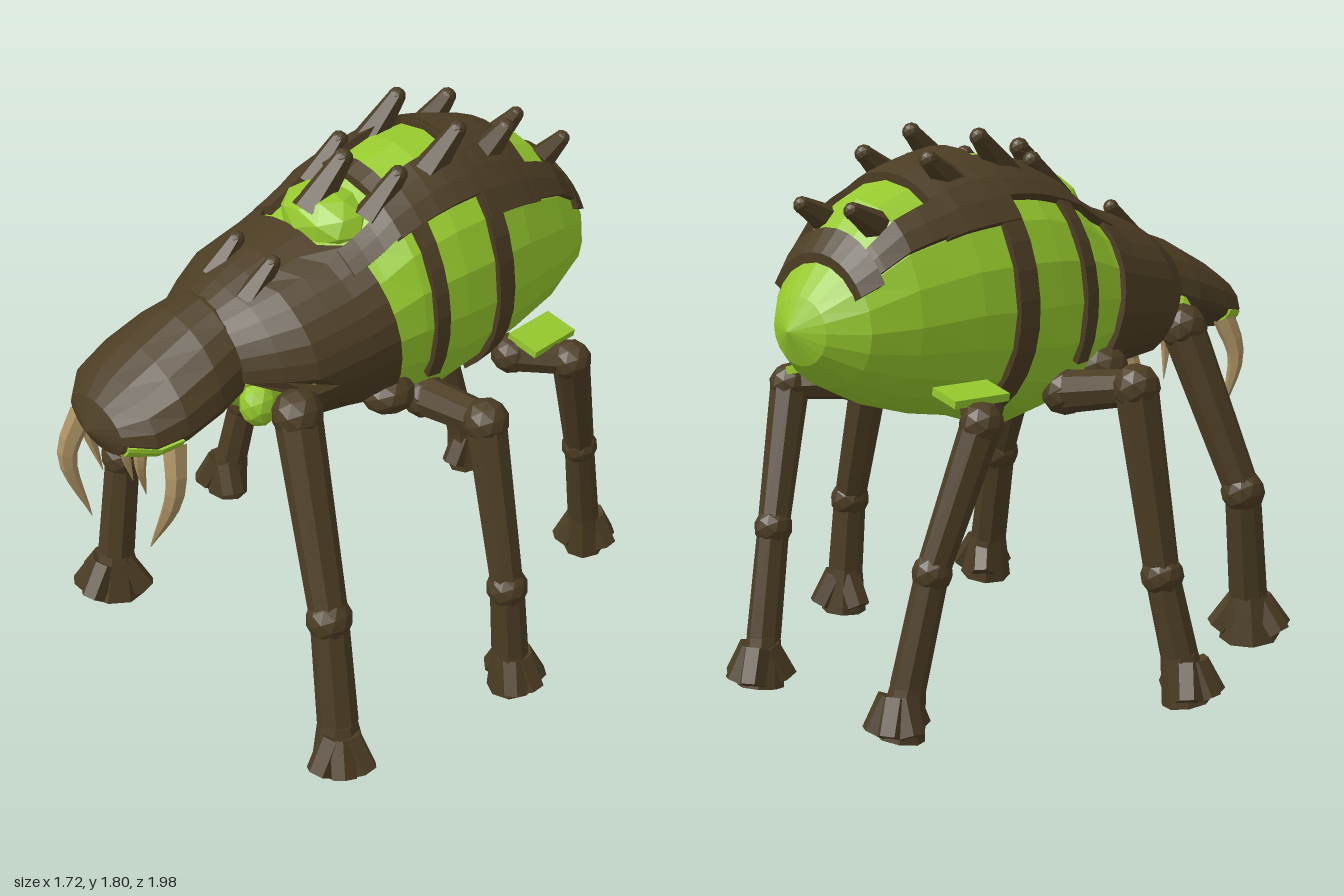
import * as THREE from 'three';

const brown = new THREE.MeshStandardMaterial({ color: 0x4c3d24, flatShading: true });
brown.name = 'dark brown shell';
const green = new THREE.MeshStandardMaterial({ color: 0x96c92d, flatShading: true });
green.name = 'lime green skin';
const tan = new THREE.MeshStandardMaterial({ color: 0xab9062, flatShading: true });
tan.name = 'tan tusk';

const V = (x, y, z) => new THREE.Vector3(x, y, z);

// Cross-sections: z, half width, bottom, centre, top
const BODY = [
  [-1, 0, 1.23, 1.23, 1.23], [-.95, .12, 1.12, 1.23, 1.33], [-.86, .22, 1.04, 1.23, 1.45],
  [-.72, .29, .97, 1.24, 1.6], [-.52, .35, .91, 1.26, 1.68], [-.36, .385, .88, 1.26, 1.715],
  [-.22, .393, .83, 1.26, 1.705], [-.05, .39, .86, 1.26, 1.65], [.05, .38, .9, 1.25, 1.57],
  [.17, .37, .94, 1.23, 1.51], [.35, .345, .97, 1.2, 1.46], [.48, .26, 1.03, 1.2, 1.4],
  [.55, .2, 1.07, 1.2, 1.36], [.56, 0, 1.2, 1.2, 1.2]];
const HEAD = [
  [.45, .2, 1.1, 1.2, 1.4], [.53, .225, 1.1, 1.2, 1.4], [.62, .25, 1.08, 1.17, 1.37],
  [.75, .258, 1.04, 1.13, 1.305], [.85, .235, 1.02, 1.11, 1.245], [.92, .15, 1.02, 1.1, 1.18], [.96, 0, 1.09, 1.09, 1.09]];

// Point on a lofted surface; angle runs from the top towards +x
function surf(keys, z, a, off = 0) {
  let i = 0;
  while (i < keys.length - 2 && z > keys[i + 1][0]) i++;
  const A = keys[i], B = keys[i + 1];
  const t = THREE.MathUtils.clamp((z - A[0]) / (B[0] - A[0]), 0, 1);
  const [, rx, bot, cy, top] = A.map((v, k) => v + (B[k] - v) * t);
  const c = Math.cos(a);
  return [(rx + off) * Math.sin(a), cy + c * ((c > 0 ? top - cy : cy - bot) + off), z];
}

// Grid of points to a geometry
function gridGeometry(rows) {
  const n = rows[0].length, idx = [];
  for (let i = 0; i < rows.length - 1; i++) for (let j = 0; j < n - 1; j++) {
    const p = i * n + j;
    idx.push(p, p + n, p + 1, p + 1, p + n, p + n + 1);
  }
  const g = new THREE.BufferGeometry();
  g.setAttribute('position', new THREE.Float32BufferAttribute(rows.flat(2), 3));
  g.setIndex(idx);
  g.computeVertexNormals();
  return g;
}

// Full loft with one ring at each section
const loft = (keys) => gridGeometry(keys.map((k) =>
  Array.from({ length: 21 }, (_, j) => surf(keys, k[0], j * Math.PI / 10))));

// Raised plate following a loft; its border folds down into the skin
function plate(keys, z0, z1, a0, a1, off) {
  const f = (z, a) => (typeof z === 'function' ? z(Math.abs(a)) : z);
  const nz = Math.max(1, Math.ceil((f(z1, 0) - f(z0, 0)) / .08)), na = Math.max(2, Math.ceil((a1 - a0) / .2));
  const rows = [];
  for (let i = -1; i <= nz + 1; i++) {
    const row = [], u = THREE.MathUtils.clamp(i / nz, 0, 1);
    for (let j = -1; j <= na + 1; j++) {
      const a = a0 + (a1 - a0) * THREE.MathUtils.clamp(j / na, 0, 1);
      const edge = i < 0 || i > nz || j < 0 || j > na;
      row.push(surf(keys, f(z0, a) + (f(z1, a) - f(z0, a)) * u, a, edge ? -.02 : off));
    }
    rows.push(row);
  }
  return gridGeometry(rows);
}

export function createModel() {
  const root = new THREE.Group();
  root.name = 'armouredInsect';
  const add = (name, geo, mat, parent = root) => {
    const m = new THREE.Mesh(geo, mat);
    m.name = name;
    parent.add(m);
    return m;
  };
  // Tapered round bar from p to q
  const bone = (name, p, q, rp, rq, parent, sides = 8) => {
    const m = add(name, new THREE.CylinderGeometry(rq, rp, p.distanceTo(q), sides), brown, parent);
    m.position.copy(p).lerp(q, .5);
    m.quaternion.setFromUnitVectors(V(0, 1, 0), q.clone().sub(p).normalize());
    return m;
  };
  const ball = (name, p, r, parent = root, mat = brown) => {
    const m = add(name, new THREE.IcosahedronGeometry(r, 1), mat, parent);
    m.position.copy(p);
    return m;
  };

  // Soft body and thorax armour
  add('abdomen', loft(BODY), green);
  add('thoraxShell', plate(BODY, (a) => (a < .5 ? .17 : .12 - .04 * a),
    (a) => (a > 1.55 ? .42 : .53), -2.3, 2.3, .02), brown);
  ball('shoulderDome', V(0, 1.53, .05), .1, root, green).scale.set(1.75, 1.05, 1.25);

  // Armour bands over the abdomen
  const band = (name, z0, z1, a0, a1, off = .025) => add(name, plate(BODY, z0, z1, a0, a1, off), brown);
  band('backPlate', -.6, -.35, -.95, .95);
  band('frontCrossBar', -.08, -.03, -.35, .35);
  band('rearCrossBar', -.88, -.82, -1.05, 1.05, .03);
  band('wideRib', -.41, -.34, -2.5, 2.5, .018);
  band('bellyBand', .06, .13, 2.2, 4.08, .012);
  for (const s of [-1, 1]) {
    const side = (name, z0, z1, a, b, off) => band(name, z0, z1, s > 0 ? a : -b, s > 0 ? b : -a, off);
    side('backRail', -.4, -.03, .3, .76);
    side('frontRail', -.03, .14, .47, .74);
    side('narrowRib', -.13, -.08, .74, 2.05, .018);
    side('rearRail', -.88, -.58, .6, .93, .028);
  }

  // Blunt spines leaning backwards, rooted inside the shell
  const spine = (x, z, h, r, rise, lift = 0) => {
    const p = V(...surf(BODY, z, Math.asin(x / surf(BODY, z, Math.PI / 2)[0]), -.02));
    p.y += lift;
    const q = p.clone().addScaledVector(V(x * .2, rise, -.8).normalize(), h);
    bone('backSpine', p, q, r, r * .55, root, 6);
    ball('spineTip', q, r * .55);
  };
  spine(0, .12, .2, .06, .85, .05);
  for (const s of [-1, 1]) {
    spine(s * .1, .42, .14, .048, .85);
    spine(s * .155, 0, .17, .055, .85);
    spine(s * .155, -.23, .17, .055, .8);
    spine(s * .15, -.46, .125, .055, .65);
    spine(s * .12, -.74, .11, .05, .45);
  }

  // Head with green skin showing along the mouth corners and cheeks
  add('head', loft(HEAD), brown);
  for (const s of [-1, 1]) {
    add('mouthSkin', plate(HEAD, .77, .91, s > 0 ? 1.65 : -2.2, s > 0 ? 2.2 : -1.65, .008), green);
    ball('cheek', V(s * .245, 1.13, .49), .062, root, green).scale.y = 1.2;
  }

  // Curved tapering tusks
  const tusk = (name, r, pts) => {
    const curve = new THREE.CatmullRomCurve3(pts.map((p) => V(...p)));
    const g = new THREE.TubeGeometry(curve, 8, r, 6), pos = g.attributes.position, v = V(0, 0, 0);
    for (let i = 0; i < pos.count; i++) {
      const t = Math.floor(i / 7) / 8;
      const c = curve.getPointAt(t);
      v.fromBufferAttribute(pos, i).sub(c).multiplyScalar(1 - .97 * t ** 1.6).add(c);
      pos.setXYZ(i, v.x, v.y, v.z);
    }
    add(name, g, tan);
  };
  tusk('rightTusk', .037, [[-.21, 1.08, .79], [-.245, .95, .82], [-.215, .75, .79]]);
  tusk('frontTusk', .04, [[-.13, 1.07, .89], [-.14, .92, .955], [-.11, .68, .9]]);
  tusk('leftTusk', .042, [[.2, 1.08, .77], [.235, .92, .8], [.14, .68, .84]]);
  for (const [x, tip] of [[-.01, .83], [.065, .82]]) {
    tusk('smallTooth', .026, [[x, 1.06, .8], [x * 1.15, .95, .82], [x, tip, .8]]);
  }

  // Legs: hip, elbow (optional), knee and foot positions with thickness
  const leg = (name, pts, r, footR) => {
    const g = new THREE.Group();
    g.name = name;
    root.add(g);
    const p = pts.map((q) => V(...q)), n = p.length, knee = p[n - 2], foot = p[n - 1];
    for (let i = 0; i < n - 2; i++) {
      ball(i ? 'elbow' : 'hip', p[i], r * 1.15, g);
      bone(i ? 'thigh' : 'upperLeg', p[i], p[i + 1], r * 1.05, r * .85, g);
    }
    const down = foot.clone().sub(knee).normalize();
    ball('knee', knee, r * 1.05, g);
    const ankle = foot.clone().addScaledVector(down, -.12);
    bone('shin', knee, ankle, r * .85, r * .92, g);
    // Flared foot with four stubby toes
    bone('foot', V(foot.x, .02, foot.z), ankle, footR * .75, r * .9, g);
    const out = Math.atan2(foot.x, foot.z);
    for (const turn of [-.75, .1, .9, 2.9]) {
      const dx = Math.sin(out + turn), dz = Math.cos(out + turn);
      bone('toe', V(foot.x + dx * footR * .78, .047, foot.z + dz * footR * .78),
        V(foot.x + dx * footR * .25, .15, foot.z + dz * footR * .25), .045, .045, g, 6);
    }
  };
  leg('leftFrontLeg', [[.35, 1.12, .42], [.6, .52, .49], [.71, .06, .53]], .072, .125);
  leg('rightFrontLeg', [[-.31, 1.1, .45], [-.5, .55, .55], [-.48, .06, .63]], .072, .14);
  leg('leftMiddleLeg', [[.3, .95, -.12], [.57, .98, -.15], [.73, .43, -.13], [.75, .06, -.15]], .066, .105);
  leg('rightMiddleLeg', [[-.32, .97, -.14], [-.6, 1.02, -.12], [-.68, .43, -.08], [-.745, .06, -.03]], .066, .105);
  for (const s of [-1, 1]) {
    leg(s > 0 ? 'leftRearLeg' : 'rightRearLeg',
      [[s * .3, .97, -.49], [s * .44, .96, -.63], [s * .37, .52, -.77], [s * .33, .06, -.87]], .06, .1);
    // Hip lump behind the thorax shell and skin flap over the rear hip
    ball('hipLump', V(s * .31, 1.03, .04), .09).scale.set(1, .75, 1);
    const flap = add('hipFlap', new THREE.BoxGeometry(.12, .025, .2), green);
    flap.position.set(s * .345, 1.03, -.58);
    flap.rotation.set(0, s * .15, -s * .2);
  }
  return root;
}
